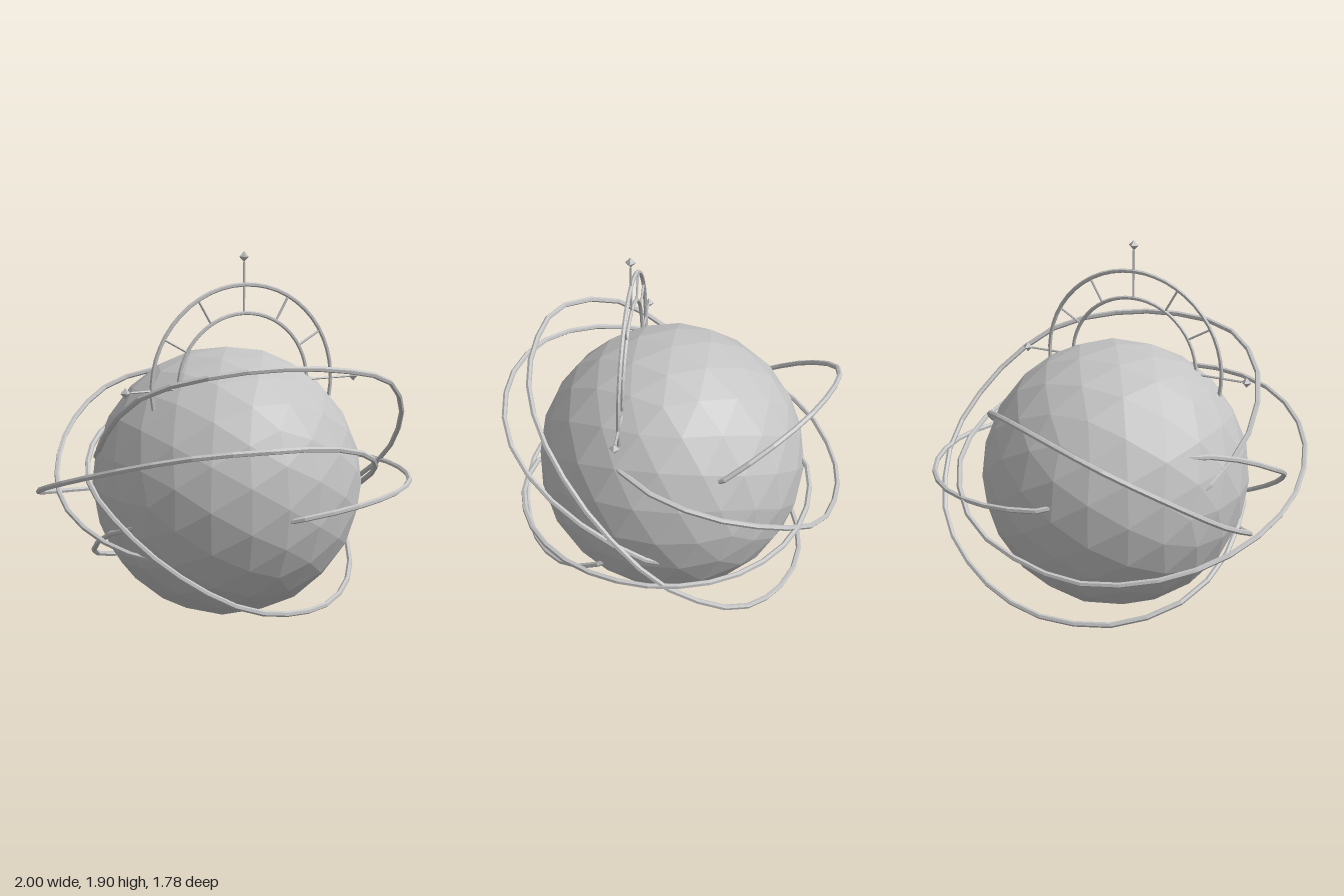
import * as THREE from 'three';

const CENTRE_Y = 0.7;   // middle of the globe
const ARCH_Y = 1.235;   // middle of the arch
const ARCH_Z = 0.2;

export function createModel() {
  const model = new THREE.Group();
  model.name = 'ringedGlobe';
  const grey = new THREE.MeshStandardMaterial({ color: 0xc4c4c4, flatShading: true, side: THREE.DoubleSide });
  grey.name = 'lightGrey';

  const add = (name, geometry, parent) => {
    const mesh = new THREE.Mesh(geometry, grey);
    mesh.name = name;
    parent.add(mesh);
    return mesh;
  };

  // Faceted globe
  add('globe', new THREE.IcosahedronGeometry(0.7, 3), model).position.y = CENTRE_Y;

  // Orbit bands: thin tubes whose ends sink into the globe
  const bands = new THREE.Group();
  bands.name = 'orbitBands';
  bands.position.y = CENTRE_Y;
  model.add(bands);
  const band = (name, points, segments) => {
    const curve = new THREE.CatmullRomCurve3(points.map(p => new THREE.Vector3(...p)));
    return add(name, new THREE.TubeGeometry(curve, segments, 0.014, 6), bands);
  };

  // Half band on the left, almost level
  band('levelBand', [
    [-0.05, -0.08, 0.64], [0.03, -0.057, 0.7], [0.33, -0.02, 0.73], [0.65, 0, 0.62],
    [0.89, 0, 0.37], [0.987, 0, 0], [0.89, 0, -0.37], [0.65, 0.01, -0.62],
    [0.33, 0.03, -0.73], [0.03, 0.057, -0.7], [-0.05, 0.08, -0.64],
  ], 20);

  // Full turn, gently tilted, swinging out to the right
  band('lowTiltBand', [
    [0.45, 0.37, 0.32], [0.52, 0.36, 0.25], [0.66, 0.29, 0.03], [0.7, 0.205, -0.25], [0.62, 0.1, -0.55],
    [0.4, -0.05, -0.78], [0.1, -0.14, -0.87], [-0.25, -0.19, -0.87], [-0.62, -0.15, -0.72],
    [-0.87, -0.07, -0.43], [-0.985, 0.05, -0.03], [-0.92, 0.17, 0.34], [-0.75, 0.26, 0.6],
    [-0.5, 0.32, 0.78], [-0.2, 0.335, 0.87], [0.1, 0.32, 0.86], [0.32, 0.27, 0.79],
    [0.52, 0.17, 0.62], [0.65, 0.05, 0.38], [0.69, -0.06, 0.17], [0.675, -0.15, 0], [0.62, -0.2, -0.1],
  ], 34);

  // Full turn, steeply tilted, swinging out to the left
  band('steepBand', [
    [-0.54, 0.05, -0.36], [-0.62, 0.12, -0.27], [-0.69, 0.25, 0], [-0.7, 0.39, 0.18], [-0.61, 0.555, 0.4],
    [-0.35, 0.66, 0.63], [0, 0.68, 0.69], [0.35, 0.64, 0.66], [0.65, 0.55, 0.53],
    [0.87, 0.35, 0.31], [0.97, 0.14, 0.08], [0.983, 0.02, -0.05], [0.95, -0.09, -0.18],
    [0.81, -0.28, -0.4], [0.55, -0.43, -0.57], [0.25, -0.51, -0.68], [0, -0.535, -0.7],
    [-0.32, -0.52, -0.62], [-0.58, -0.43, -0.4], [-0.67, -0.32, -0.17], [-0.68, -0.22, 0],
    [-0.62, -0.12, 0.27], [-0.54, -0.05, 0.36],
  ], 34);

  // Pair of off-centre arcs, one a half turn of the other about the x axis
  const arc = [
    [0.52, -0.24, 0.2], [0.55, -0.29, 0.28], [0.46, -0.42, 0.49], [0.23, -0.49, 0.7],
    [-0.1, -0.465, 0.83], [-0.35, -0.39, 0.84], [-0.62, -0.22, 0.68], [-0.79, -0.02, 0.41],
    [-0.82, 0.11, 0.16], [-0.73, 0.22, -0.05], [-0.6, 0.28, -0.22], [-0.53, 0.29, -0.3],
  ];
  band('frontCrossBand', arc, 20);
  band('backCrossBand', arc, 20).rotation.x = Math.PI;

  // Double arch standing on top of the globe
  const arch = new THREE.Group();
  arch.name = 'arch';
  arch.position.set(0, ARCH_Y, ARCH_Z);
  model.add(arch);
  const hoop = (name, radius, tube, overrun) => {
    const mesh = add(name, new THREE.TorusGeometry(radius, tube, 6, 28, Math.PI + 2 * overrun), arch);
    mesh.rotation.z = -overrun;
  };
  hoop('outerHoop', 0.5, 0.011, 0.19);
  hoop('innerHoop', 0.358, 0.01, 0.12);

  // Radial rods of the arch
  const rod = (name, angle, from, to, radius) => {
    const mesh = add(name, new THREE.CylinderGeometry(radius, radius, to - from, 6), arch);
    const mid = (from + to) / 2;
    mesh.position.set(Math.cos(angle) * mid, Math.sin(angle) * mid, 0);
    mesh.rotation.z = angle - Math.PI / 2;
  };
  for (let i = 0; i <= 6; i++) rod('spoke', (i * Math.PI) / 6, 0.358, 0.5, 0.006);

  // Spikes with small diamond tips: left, top and right
  for (let i = 0; i < 3; i++) {
    const angle = (i * Math.PI) / 2;
    rod('spike', angle, 0.5, 0.61, 0.006);
    const tip = add('diamondTip', new THREE.OctahedronGeometry(0.027), arch);
    tip.position.set(Math.cos(angle) * 0.637, Math.sin(angle) * 0.637, 0);
  }
  return model;
}
